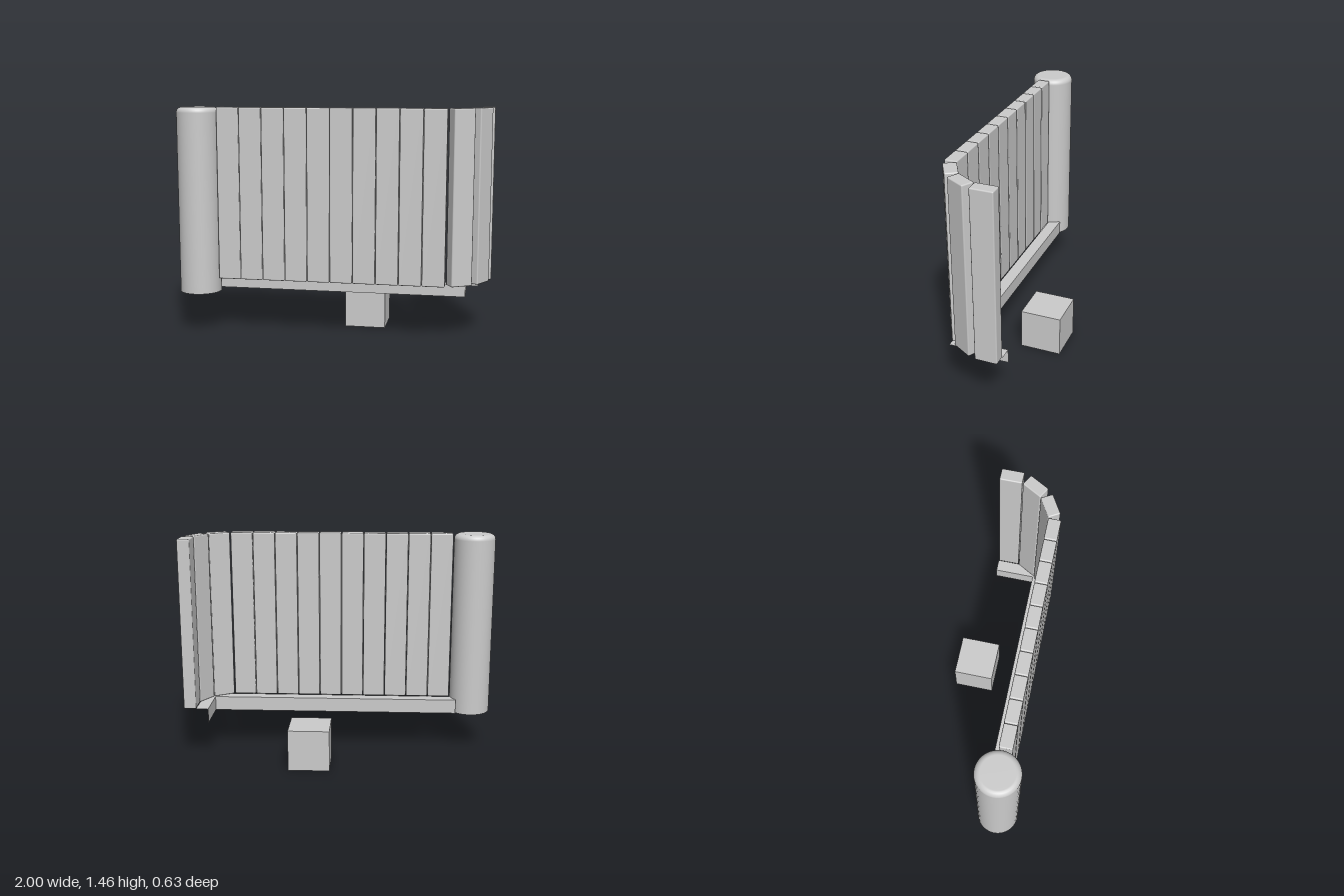
import * as THREE from 'three';
import { RoundedBoxGeometry } from 'three/addons/geometries/RoundedBoxGeometry.js';

const BASE = 0.265, FLOOR = 0.357, TOP = 1.455;
const W = 0.145, T = 0.08, INNER = 0.157;

export function createModel() {
  const group = new THREE.Group();
  const solid = new THREE.MeshStandardMaterial({ color: 0xcccccc });
  const sheet = new THREE.MeshStandardMaterial({ color: 0xcccccc, side: THREE.DoubleSide });
  const add = (name, geometry, material, x, y, z, parent = group) => {
    const mesh = new THREE.Mesh(geometry, material);
    mesh.name = name;
    mesh.position.set(x, y, z);
    parent.add(mesh);
    return mesh;
  };

  // Planks laid end to end along their inner edge: ten straight, then a curved corner
  const planks = new THREE.Group();
  planks.name = 'planks';
  group.add(planks);
  const plankGeo = new RoundedBoxGeometry(W - 0.003, TOP - FLOOR, T, 2, 0.008);
  const turns = [...Array(10).fill(0), Math.PI / 6, Math.PI / 3, Math.PI / 2];
  let x = -0.73, z = INNER;
  for (const a of turns) {
    const c = Math.cos(a), s = Math.sin(a);
    const plank = add('plank', plankGeo, solid,
      x + c * W / 2 + s * T / 2, (FLOOR + TOP) / 2, z - s * W / 2 + c * T / 2, planks);
    plank.rotation.y = a;
    x += c * W;
    z -= s * W;
  }

  // Round end post, hollow below, with a rounded top edge
  const R = 0.133, B = 0.035;
  const profile = [new THREE.Vector2(R, BASE)];
  for (let i = 0; i <= 6; i++) {
    const a = i / 6 * Math.PI / 2;
    profile.push(new THREE.Vector2(R - B + B * Math.cos(a), TOP - B + B * Math.sin(a)));
  }
  profile.push(new THREE.Vector2(0, TOP));
  add('endPost', new THREE.LatheGeometry(profile, 48), sheet, -0.867, 0, 0.183);

  // Thin angle rail: an L-shaped ledge with a skirt hanging from its inner edge
  const x0 = -0.77, xi = 0.84, xo = 0.92, zi = 0.079, ze = -0.187;
  const outline = [[x0, INNER], [xo, INNER], [xo, ze], [xi, ze], [xi, zi], [x0, zi]];
  const ledge = new THREE.ShapeGeometry(
    new THREE.Shape(outline.map(([px, pz]) => new THREE.Vector2(px, -pz))));
  ledge.rotateX(-Math.PI / 2);
  add('railLedge', ledge, sheet, 0, FLOOR, 0);

  const h = FLOOR - BASE, mid = (FLOOR + BASE) / 2;
  const back = new THREE.PlaneGeometry(xi - x0, h).rotateY(Math.PI);
  add('railSkirt', back, sheet, (x0 + xi) / 2, mid, zi);
  const side = new THREE.PlaneGeometry(zi - ze, h).rotateY(-Math.PI / 2);
  add('railReturnSkirt', side, sheet, xi, mid, (zi + ze) / 2);

  // Free-standing block behind the wall
  add('block', new THREE.BoxGeometry(0.264, BASE, 0.264), solid, 0.181, BASE / 2, -0.187);

  return group;
}
